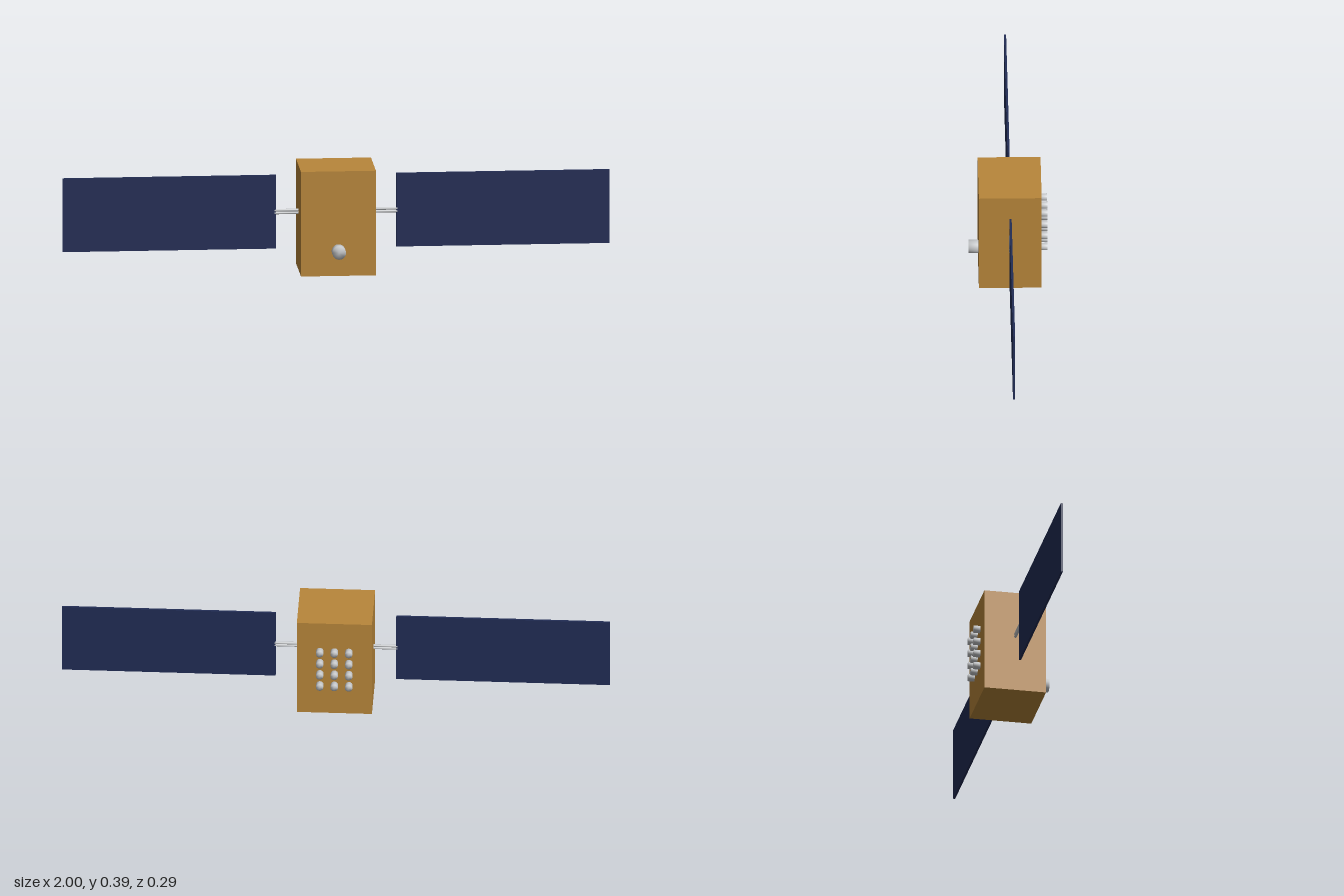
import * as THREE from 'three';
import { mergeVertices } from 'three/addons/utils/BufferGeometryUtils.js';

export function createModel() {
  const model = new THREE.Group();
  model.name = 'satellite';

  const mat = (name, color) => {
    const m = new THREE.MeshStandardMaterial({ color });
    m.name = name;
    return m;
  };
  const gold = mat('gold foil', 0xb8863a);
  const navy = mat('solar navy', 0x212c55);
  const silver = mat('silver metal', 0xc6c8ca);

  const add = (name, geometry, material, x, y, z) => {
    const mesh = new THREE.Mesh(geometry, material);
    mesh.name = name;
    mesh.position.set(x, y, z);
    model.add(mesh);
    return mesh;
  };

  // Short cylinder along z whose normals are blended over the rim
  const softStub = (radius, length) => {
    const g = new THREE.CylinderGeometry(radius, radius, length, 32).rotateX(Math.PI / 2);
    g.deleteAttribute('normal');
    g.deleteAttribute('uv');
    const merged = mergeVertices(g, 1e-5);
    merged.computeVertexNormals();
    return merged;
  };

  // Main body
  add('body', new THREE.BoxGeometry(0.274, 0.39, 0.229), gold, 0, 0.195, -0.0055);

  // Solar wings, each held by a pair of thin rods
  const midY = 0.219, wingZ = -0.005;
  const panel = new THREE.BoxGeometry(0.78, 0.274, 0.008);
  const rod = new THREE.CylinderGeometry(0.005, 0.005, 0.1, 16).rotateZ(Math.PI / 2);
  for (const [side, s] of [['left', 1], ['right', -1]]) {
    add(side + 'SolarPanel', panel, navy, s * 0.61, midY, wingZ);
    for (const dy of [-0.005, 0.005]) {
      add(side + 'PanelRod', rod, silver, s * 0.175, midY + dy, wingZ);
    }
  }

  // Front sensor
  add('frontSensor', softStub(0.025, 0.04), silver, 0, 0.093, 0.125);

  // Grid of studs on the back
  const stud = softStub(0.0135, 0.028);
  for (let row = 0; row < 4; row++) {
    for (let col = -1; col <= 1; col++) {
      add('rearStud', stud, silver, col * 0.053, 0.124 + row * 0.0487, -0.129);
    }
  }

  return model;
}
